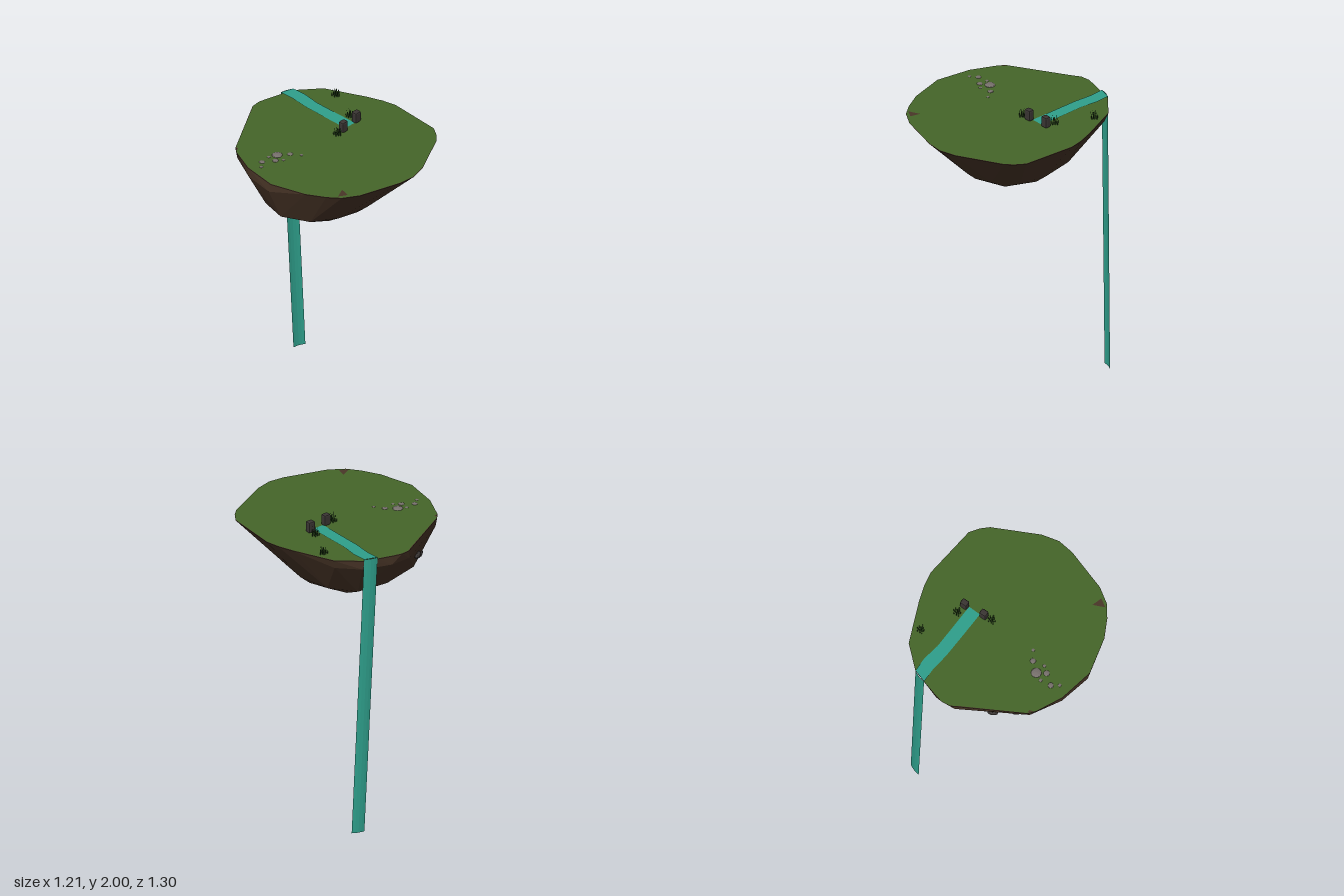
import * as THREE from 'three';
import { ConvexGeometry } from 'three/addons/geometries/ConvexGeometry.js';
import { RoundedBoxGeometry } from 'three/addons/geometries/RoundedBoxGeometry.js';

const TOP = 1.925;
const mat = (color, extra = {}) => {
  const m = new THREE.MeshStandardMaterial({ color, ...extra });
  return m;
};
const soil = mat(0x4a3628, { flatShading: true });
const grass = mat(0x456629, { side: THREE.DoubleSide });
const water = mat(0x2fa08c, { side: THREE.DoubleSide });
const darkRock = mat(0x3a3533, { flatShading: true });
const paleRock = mat(0x77706c, { flatShading: true });
const blade = mat(0x22401a, { flatShading: true });

// Island rim as [x, z], running round from the back
const rim = [
  [-0.06, -0.65], [0, -0.645], [0.11, -0.63], [0.2, -0.615], [0.36, -0.51], [0.51, -0.26],
  [0.56, -0.16], [0.59, -0.07], [0.605, 0.29], [0.57, 0.36], [0.53, 0.41], [0.26, 0.6],
  [0.15, 0.645], [0.04, 0.648], [-0.25, 0.6], [-0.36, 0.55], [-0.43, 0.48], [-0.51, 0.37],
  [-0.605, 0.14], [-0.595, -0.1], [-0.54, -0.28], [-0.51, -0.33], [-0.16, -0.6], [-0.12, -0.635],
];
// Lower cross-sections: height, then [x, z] corners
const sections = [
  [1.86, [[-0.605, 0.12], [-0.59, -0.1], [-0.51, -0.31], [-0.14, -0.61], [0, -0.635], [0.2, -0.6], [0.34, -0.49]]],
  [1.6, [[-0.475, 0.08], [-0.45, -0.1], [-0.36, -0.29], [-0.1, -0.4], [0.12, -0.41], [0.26, -0.27],
    [0.33, -0.05], [0.32, 0.14], [0.2, 0.28], [0.02, 0.34], [-0.2, 0.33], [-0.37, 0.25]]],
  [1.53, [[-0.34, 0.04], [-0.28, -0.18], [-0.08, -0.28], [0.12, -0.27], [0.25, -0.03], [0.19, 0.17],
    [0, 0.265], [-0.2, 0.23]]],
  [1.42, [[-0.09, 0.01], [-0.05, -0.04], [0.01, -0.01], [-0.02, 0.04]]],
];

function ribbon(rows) {
  const pos = [], index = [];
  rows.forEach(([a, b], i) => {
    pos.push(...a, ...b);
    if (i) {
      const k = i * 2;
      index.push(k - 2, k - 1, k, k - 1, k + 1, k);
    }
  });
  const g = new THREE.BufferGeometry();
  g.setAttribute('position', new THREE.Float32BufferAttribute(pos, 3));
  g.setIndex(index);
  g.computeVertexNormals();
  return g;
}

export function createModel() {
  const model = new THREE.Group();
  model.name = 'floatingIsland';
  const add = (name, geometry, material, x = 0, y = 0, z = 0, parent = model) => {
    const mesh = new THREE.Mesh(geometry, material);
    mesh.name = name;
    mesh.position.set(x, y, z);
    parent.add(mesh);
    return mesh;
  };

  // Faceted body of earth
  const points = rim.map(([x, z]) => new THREE.Vector3(x, TOP, z));
  for (const [y, ring] of sections) for (const [x, z] of ring) points.push(new THREE.Vector3(x, y, z));
  add('islandBody', new ConvexGeometry(points), soil);

  // Grass sheet over the flat top
  const outline = new THREE.Shape(rim.map(([x, z]) => new THREE.Vector2(x * 0.997, -z * 0.997)));
  add('grassTop', new THREE.ShapeGeometry(outline).rotateX(-Math.PI / 2), grass, 0, TOP + 0.003, 0);

  // Bare earth showing through near the rim
  const patches = [
    [[-0.37, 0.525], [-0.3, 0.48], [-0.31, 0.55]],
    [[-0.53, -0.295], [-0.505, -0.33], [-0.505, -0.305]],
  ];
  for (const p of patches) {
    const s = new THREE.Shape(p.map(([x, z]) => new THREE.Vector2(x, -z)));
    add('earthPatch', new THREE.ShapeGeometry(s).rotateX(-Math.PI / 2), soil, 0, TOP + 0.006, 0);
  }

  // Stream across the grass
  add('stream', ribbon([
    [[0.168, 1.932, -0.06], [0.253, 1.932, -0.07]],
    [[0.148, 1.933, -0.23], [0.232, 1.933, -0.24]],
    [[0.128, 1.935, -0.41], [0.213, 1.935, -0.4]],
    [[0.125, 1.936, -0.53], [0.215, 1.936, -0.52]],
    [[0.108, 1.938, -0.632], [0.198, 1.938, -0.617]],
  ]), water);

  // Waterfall, slightly bowed outwards across its width
  const fall = [], steps = 12, cols = 4;
  for (let c = 0; c <= cols; c++) {
    fall.push([]);
    for (let i = 0; i <= steps; i++) {
      const t = i / steps, u = c / cols;
      const x = 0.108 + 0.078 * t + u * (0.09 - 0.006 * t);
      const z = -0.632 + 0.032 * t + 0.016 * u - 0.006 * Math.sin(Math.PI * u);
      fall[c].push([x, 1.938 * (1 - t), z]);
    }
  }
  const waterfall = new THREE.Group();
  waterfall.name = 'waterfall';
  model.add(waterfall);
  for (let c = 0; c < cols; c++) {
    add('waterfallStrip', ribbon(fall[c].map((p, i) => [p, fall[c + 1][i]])), water, 0, 0, 0, waterfall);
  }

  // Pair of upright boulders at the spring
  for (const [x, z] of [[0.143, -0.05], [0.278, -0.085]]) {
    const b = add('springBoulder', new RoundedBoxGeometry(0.05, 0.075, 0.042, 1, 0.01), darkRock, x, 1.9625, z);
    b.rotation.y = 0.15;
  }

  // Low scattered stones: x, z, radius
  const stones = [
    [-0.36, -0.095, 0.034], [-0.485, -0.093, 0.019], [-0.415, -0.112, 0.012], [-0.525, -0.052, 0.012],
    [-0.41, -0.052, 0.02], [-0.365, -0.026, 0.011], [-0.29, -0.052, 0.019], [-0.24, 0.002, 0.011],
  ];
  for (const [x, z, r] of stones) {
    const s = add('stone', new THREE.IcosahedronGeometry(r, 1), paleRock, x, TOP + 0.003, z);
    s.scale.y = 0.3;
  }

  // Dark rocks set into the back of the slope
  for (const [x, y, z] of [[-0.305, 1.76, -0.435], [-0.39, 1.695, -0.315]]) {
    const s = add('slopeRock', new THREE.IcosahedronGeometry(0.034, 1), darkRock, x, y, z);
    s.scale.set(1, 0.75, 0.5);
    s.lookAt(x - 0.6, y - 0.3, z - 0.8);
  }

  // Grass tufts: thin blades on a golden-angle spiral
  for (const [x, z] of [[0.085, -0.037], [0.28, -0.15], [0.365, -0.395]]) {
    const tuft = new THREE.Group();
    tuft.name = 'grassTuft';
    tuft.position.set(x, TOP, z);
    model.add(tuft);
    for (let i = 0; i < 14; i++) {
      const a = i * 2.4, r = 0.028 * Math.sqrt(i / 14), h = 0.06 - 0.03 * (i / 14) + 0.008 * (i % 2);
      const b = add('blade', new THREE.ConeGeometry(0.004, h, 4), blade, r * Math.cos(a), h / 2, r * Math.sin(a), tuft);
      b.rotation.set(0.15 * Math.sin(a), 0, -0.15 * Math.cos(a));
    }
  }
  return model;
}
